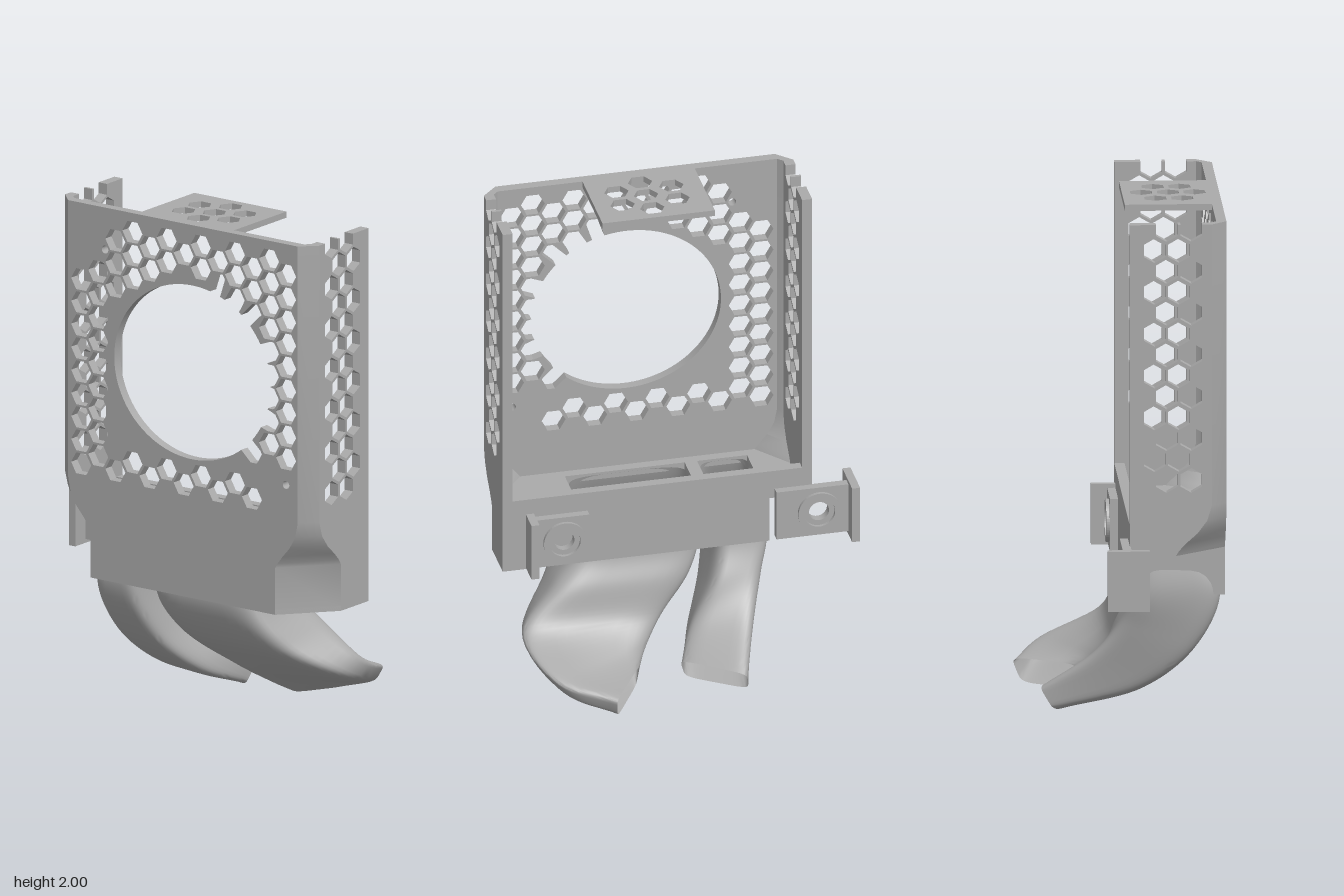
import * as THREE from 'three';
import { toCreasedNormals } from 'three/addons/utils/BufferGeometryUtils.js';

const V = (x, y) => new THREE.Vector2(x, y);
const R = 0.049; // hexagon circumradius

// Corner chamfer of the shell by height: [y, inset in x, inset in z]
const LEVELS = [[2, 0.06, 0.06], [0.88, 0.06, 0.06], [0.82, 0.072, 0.078], [0.77, 0.1, 0.115],
  [0.73, 0.135, 0.16], [0.7, 0.158, 0.188], [0.68, 0.17, 0.2], [0.49, 0.17, 0.2]];

function hexPoints(cx, cy, start = 0) {
  return Array.from({ length: 6 }, (_, k) => {
    const a = start + k * Math.PI / 3;
    return V(cx + R * Math.cos(a), cy + R * Math.sin(a));
  });
}

function circle(cx, cy, r) {
  return new THREE.Path().absarc(cx, cy, r, 0, Math.PI * 2, true);
}

function extrude(points, holes, depth) {
  const shape = new THREE.Shape(points);
  shape.holes = holes;
  return new THREE.ExtrudeGeometry(shape, { depth, bevelEnabled: false, curveSegments: 24 });
}

// Plate drawn in x and z, lying flat with its underside at y
function flatPlate(points, holes, y, depth) {
  return extrude(points, holes, depth).rotateX(Math.PI / 2).translate(0, y + depth, 0);
}

// Skin over rings of equal point count
function loft(rings, capped) {
  const n = rings[0].length, index = [];
  for (let i = 0; i < rings.length - 1; i++) {
    for (let j = 0; j < n; j++) {
      const a = i * n + j, b = i * n + (j + 1) % n;
      index.push(a, b, a + n, b, b + n, a + n);
    }
  }
  if (capped) {
    const e = (rings.length - 1) * n;
    for (let j = 1; j < n - 1; j++) index.push(0, j + 1, j, e, e + j, e + j + 1);
  }
  const geo = new THREE.BufferGeometry();
  geo.setAttribute('position', new THREE.Float32BufferAttribute(rings.flat(2), 3));
  geo.setIndex(index);
  return toCreasedNormals(geo, 0.6);
}

// Main fan opening, widened wherever a ray from its centre crosses a cut hexagon
function fanOpening(hexes) {
  const cx = 0.125, cy = 1.404, pts = [];
  for (let k = 0; k < 480; k++) {
    const a = k / 480 * Math.PI * 2, dx = Math.cos(a), dy = Math.sin(a);
    let r = 1 / Math.hypot(dx / 0.38, dy / 0.352);
    for (const h of hexes) {
      let lo = 0, hi = 9;
      for (let s = 0; s < 6; s++) {
        const t = (s + 0.5) * Math.PI / 3, nx = Math.cos(t), ny = Math.sin(t);
        const d = nx * (h.x - cx) + ny * (h.y - cy) + R * 0.866, m = nx * dx + ny * dy;
        if (m > 1e-6) hi = Math.min(hi, d / m);
        else if (m < -1e-6) lo = Math.max(lo, d / m);
        else if (d < 0) hi = -1;
      }
      if (lo < hi && lo <= r * 1.02 && hi > r) r = hi;
    }
    pts.push(V(cx + r * dx, cy + r * dy));
  }
  return new THREE.Path(pts);
}

function frontPanel() {
  const holes = [circle(-0.3, 1.83, 0.016), circle(0.583, 1.025, 0.016)], cut = [];
  for (let i = -5; i <= 7; i++) {
    for (let j = 0; j <= 10; j++) {
      const keep = (j <= 1 && i >= -3) || (i <= -4 && j >= 2) || (i >= 6 && j <= 8)
        || (j === 10 && i <= 5) || (j === 2 && (i <= -2 || i >= 4)) || (j === 8 && i === 5);
      if (!keep) continue;
      const c = V(i * 0.0833, (i % 2 ? 1.875 : 1.922) - j * 0.0932), pts = hexPoints(c.x, c.y);
      const near = Math.min(...pts.map((p, k) => {
        const q = pts[(k + 1) % 6];
        return Math.min(...[0, 0.25, 0.5, 0.75].map(t => Math.hypot(
          (p.x + (q.x - p.x) * t - 0.125) / 0.38, (p.y + (q.y - p.y) * t - 1.404) / 0.352)));
      }));
      if (near > 1.02) holes.push(new THREE.Path(pts));
      else if (c.x > 0.2) cut.push(c);
    }
  }
  holes.push(fanOpening(cut));
  const right = LEVELS.map(([y, cx]) => V(0.7 - cx, y));
  const left = LEVELS.map(([y, cx]) => V(-0.54 + cx, y)).reverse();
  return extrude([...right, ...left], holes, 0.04).translate(0, 0, 0.36);
}

// Side wall drawn in z and y, with half-open hexagons along the top edge
function sideWall(outerX, bottom) {
  const front = LEVELS.filter(l => l[0] >= bottom).map(([y, , cz]) => V(0.4 - cz, y));
  const outline = [...front, V(0.02, bottom), V(0.02, 2)];
  for (const z of [0.164, 0.26]) {
    outline.push(V(z - 0.042, 2), V(z - 0.042, 1.956), V(z, 1.932), V(z + 0.042, 1.956), V(z + 0.042, 2));
  }
  const holes = [];
  for (let k = 0; k < 12; k++) {
    for (const z of k % 2 ? [0.117, 0.212] : [0.164, 0.26]) {
      holes.push(new THREE.Path(hexPoints(z, 0.981 + k * 0.0833, Math.PI / 6)));
    }
  }
  return extrude(outline, holes, 0.04).rotateY(-Math.PI / 2).translate(outerX, 0, 0);
}

function cornerStrip(side, bottom) {
  const X = d => 0.08 + side * (0.62 - d);
  return loft(LEVELS.filter(l => l[0] >= bottom).map(([y, cx, cz]) => [
    [X(0), y, 0.4 - cz], [X(cx), y, 0.4], [X(cx), y, 0.36], [X(0.04), y, 0.4 - cz]]), true);
}

// Curved duct: each section is front-left, front-right, back-right, back-left
function duct(sections) {
  const curves = [0, 1, 2, 3].map(c =>
    new THREE.CatmullRomCurve3(sections.map(s => new THREE.Vector3(...s[c])), false, 'centripetal'));
  const soft = t => 0.5 + 0.5 * Math.sign(t) * Math.abs(t) ** 0.4;
  const rings = [];
  for (let i = 0; i <= 40; i++) {
    const [a, b, c, d] = curves.map(q => q.getPoint(i / 40)), ring = [];
    for (let k = 0; k < 40; k++) {
      const t = (k + 0.5) / 40 * Math.PI * 2, u = soft(Math.cos(t)), v = soft(Math.sin(t));
      ring.push(a.clone().lerp(b, u).lerp(d.clone().lerp(c, u), v).toArray());
    }
    rings.push(ring);
  }
  return loft(rings, false);
}

const rect = (x0, x1, z0, z1) => [V(x0, z0), V(x1, z0), V(x1, z1), V(x0, z1)];
const level = (y, x0, x1, z0, z1) => [[x0, y, z1], [x1, y, z1], [x1, y, z0], [x0, y, z0]];

export function createModel() {
  const model = new THREE.Group();
  const grey = new THREE.MeshStandardMaterial({ color: 0xaaaaaa, side: THREE.DoubleSide });
  grey.name = 'grey plastic';
  const add = (name, geo, parent = model) => {
    const mesh = new THREE.Mesh(geo, grey);
    mesh.name = name;
    parent.add(mesh);
  };
  const box = (name, x0, x1, y0, y1, z0, z1, parent) => add(name,
    new THREE.BoxGeometry(x1 - x0, y1 - y0, z1 - z0)
      .translate((x0 + x1) / 2, (y0 + y1) / 2, (z0 + z1) / 2), parent);

  // Shell
  add('frontPanel', frontPanel());
  add('leftWall', sideWall(0.7, 0.49));
  add('rightWall', sideWall(-0.5, 0.68));
  add('leftCorner', cornerStrip(1, 0.49));
  add('rightCorner', cornerStrip(-1, 0.68));
  box('backWall', -0.37, 0.67, 0.49, 0.8, 0.02, 0.06);
  box('backWallEnd', -0.52, -0.37, 0.68, 0.8, 0.02, 0.06);
  box('notchWall', -0.37, -0.35, 0.49, 0.7, 0.02, 0.38);

  // Floors with openings into the ducts
  const openings = () => [new THREE.Path(rect(-0.35, -0.15, 0.06, 0.32)),
    new THREE.Path(rect(-0.1, 0.38, 0.06, 0.32))];
  add('innerFloor', flatPlate([V(-0.535, 0.02), V(0.695, 0.02), V(0.695, 0.2), V(0.53, 0.39),
    V(-0.37, 0.39), V(-0.535, 0.2)], openings(), 0.68, 0.03));
  add('bottomPlate', flatPlate([V(-0.37, 0.02), V(0.7, 0.02), V(0.7, 0.2), V(0.53, 0.4),
    V(-0.37, 0.4)], openings(), 0.49, 0.02));

  // Top vent
  const vents = [[-0.03, 0.145], [-0.03, 0.25], [0.083, 0.095], [0.083, 0.2], [0.083, 0.303],
    [0.19, 0.145], [0.19, 0.25]].map(([x, z]) => new THREE.Path(hexPoints(x, z)));
  add('topVent', flatPlate(rect(-0.15, 0.3, 0.02, 0.37), vents, 1.975, 0.025));

  // Air ducts
  add('rightDuct', duct([
    level(0.7, -0.35, -0.15, 0.06, 0.32),
    level(0.49, -0.38, -0.17, 0.04, 0.385),
    [[-0.36, 0.27, 0.29], [-0.13, 0.26, 0.28], [-0.13, 0.36, -0.02], [-0.34, 0.37, -0.01]],
    [[-0.3, 0.1, 0.09], [-0.05, 0.09, 0.1], [-0.03, 0.2, -0.06], [-0.28, 0.24, -0.13]],
    [[-0.22, 0, -0.26], [0, 0, -0.11], [0.03, 0.1, -0.15], [-0.2, 0.1, -0.32]]]));
  add('leftDuct', duct([
    level(0.7, -0.1, 0.38, 0.06, 0.32),
    level(0.49, -0.11, 0.4, 0.04, 0.385),
    [[-0.05, 0.32, 0.31], [0.48, 0.32, 0.31], [0.5, 0.39, 0], [-0.06, 0.38, 0]],
    [[0.09, 0.15, 0.12], [0.61, 0.17, 0.08], [0.64, 0.25, -0.05], [0.07, 0.24, -0.04]],
    [[0.17, 0.05, -0.03], [0.51, 0.06, -0.27], [0.56, 0.15, -0.28], [0.15, 0.15, -0.1]],
    [[0.2, 0, -0.13], [0.33, 0, -0.36], [0.34, 0.1, -0.4], [0.19, 0.1, -0.15]]]));

  // Mounting ears: drilled plate, screw collar and end stop
  for (const [name, x0, x1, hole, end, zMax] of [
    ['rightEar', -0.68, -0.39, -0.56, -0.71, 0.09], ['leftEar', 0.36, 0.58, 0.46, 0.575, 0.02]]) {
    const ear = new THREE.Group();
    ear.name = name;
    model.add(ear);
    add('earPlate', extrude([V(x0, 0.51), V(x1, 0.51), V(x1, 0.72), V(x0, 0.72)],
      [circle(hole, 0.615, 0.04)], 0.035).translate(0, 0, -0.012), ear);
    add('screwCollar', extrude(circle(hole, 0.615, 0.085).getPoints(24),
      [circle(hole, 0.615, 0.062)], 0.02).translate(0, 0, -0.025), ear);
    box('endStop', end, end + 0.032, 0.495, 0.735, -0.075, zMax, ear);
  }
  return model;
}
